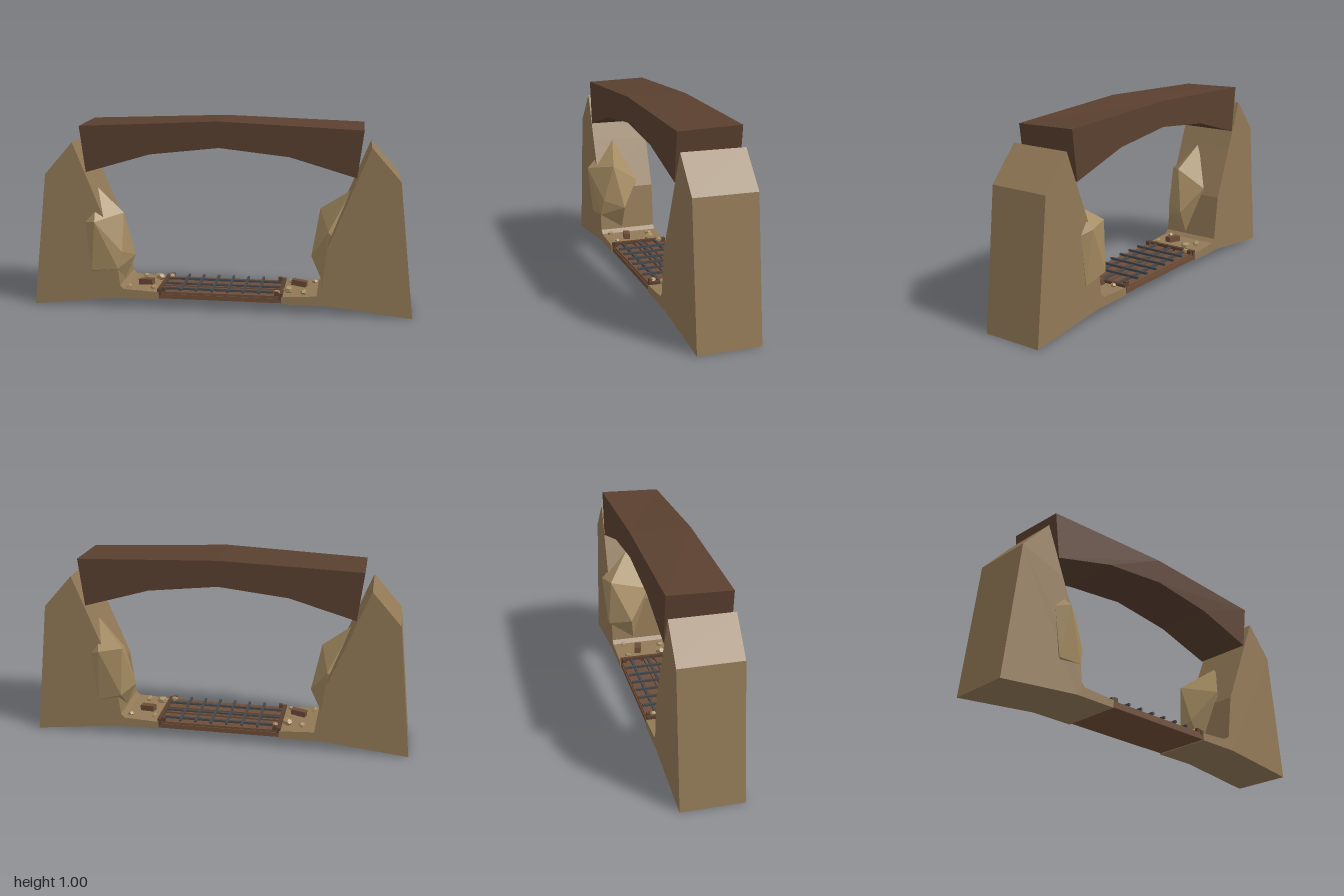
import * as THREE from 'three';
import { ConvexGeometry } from 'three/addons/geometries/ConvexGeometry.js';

const mat = (color) => new THREE.MeshStandardMaterial({ color, flatShading: true });
const EARTH = mat(0x927957), ROCK = mat(0xa58c62), WOOD = mat(0x5a4030),
  PLANK = mat(0x6e4d38), IRON = mat(0x45474a);
const BACK = -0.165, DEPTH = 0.32, MID = BACK + DEPTH / 2;

function add(parent, name, geometry, material, x = 0, y = 0, z = 0) {
  const mesh = new THREE.Mesh(geometry, material);
  mesh.name = name;
  mesh.position.set(x, y, z);
  parent.add(mesh);
  return mesh;
}

const box = (parent, name, material, w, h, d, x, y, z) =>
  add(parent, name, new THREE.BoxGeometry(w, h, d), material, x, y, z);

// Extrudes a front outline through the full depth
function slab(points) {
  const shape = new THREE.Shape(points.map(([x, y]) => new THREE.Vector2(x, y)));
  return new THREE.ExtrudeGeometry(shape, { depth: DEPTH, bevelEnabled: false }).translate(0, 0, BACK);
}

const hull = (points) => new ConvexGeometry(points.map((p) => new THREE.Vector3(...p)));

export function createModel() {
  const model = new THREE.Group();
  model.name = 'caveGate';

  // Earth pillars, each with a low foot reaching to the bridge
  const pillar = [[1, 0], [0.92, 0.71], [0.77, 0.88], [0.67, 0.63], [0.56, 0.36],
    [0.53, 0.12], [0.51, 0.1], [0.325, 0.09], [0.325, 0.05], [0.56, 0.05]];
  for (const [side, name] of [[1, 'leftPillar'], [-1, 'rightPillar']])
    add(model, name, slab(pillar.map(([x, y]) => [side * x, y])), EARTH);

  // Arched beam overhead, its front top corners a little lower
  const beam = slab([[-0.7, 0.725], [-0.36, 0.825], [0, 0.865], [0.36, 0.825], [0.7, 0.725],
    [0.73, 0.975], [0, 1], [-0.73, 0.975]]);
  const pos = beam.attributes.position;
  for (let i = 0; i < pos.count; i++)
    if (Math.abs(pos.getX(i)) > 0.72 && pos.getZ(i) > 0) pos.setY(i, 0.966);
  beam.computeVertexNormals();
  add(model, 'archBeam', beam, WOOD);

  // Boulders bulging out of the pillars
  add(model, 'rightBoulder', hull([
    [-0.675, 0.63, 0.04], [-0.65, 0.47, 0.2], [-0.71, 0.46, 0.155], [-0.52, 0.5, 0.08],
    [-0.47, 0.26, 0.03], [-0.52, 0.3, 0.14], [-0.68, 0.2, 0.165], [-0.54, 0.21, 0.155],
    [-0.53, 0.13, 0.03], [-0.56, 0.4, -0.07], [-0.66, 0.3, 0]]), ROCK);
  add(model, 'leftBoulder', hull([
    [0.675, 0.63, -0.04], [0.63, 0.485, -0.2], [0.68, 0.46, -0.165], [0.51, 0.5, -0.17],
    [0.47, 0.26, -0.06], [0.52, 0.24, -0.185], [0.65, 0.2, -0.168], [0.53, 0.13, -0.04],
    [0.56, 0.42, 0.06], [0.66, 0.3, 0]]), ROCK);

  // Bridge deck with boards lengthwise
  const bridge = new THREE.Group();
  bridge.name = 'bridge';
  model.add(bridge);
  box(bridge, 'deck', PLANK, 0.65, 0.024, 0.31, 0, 0.067, MID);
  for (let i = 0; i < 5; i++)
    box(bridge, 'board', PLANK, 0.65, 0.014, 0.045, 0, 0.084, MID + (i - 2) * 0.064);

  // Iron grid on the deck
  for (let i = 0; i < 3; i++)
    box(bridge, 'longBar', IRON, 0.64, 0.012, 0.014, 0, 0.095, MID + (i - 1) * 0.095);
  for (let i = 0; i < 6; i++)
    box(bridge, 'crossBar', IRON, 0.012, 0.012, 0.3, (i - 2.5) * 0.083, 0.104, MID);

  // End sills with short posts
  for (const s of [-1, 1]) {
    box(bridge, 'endSill', WOOD, 0.02, 0.035, 0.31, s * 0.322, 0.088, MID);
    for (const e of [-1, 1])
      box(bridge, 'post', WOOD, 0.022, 0.045, 0.02, s * 0.3, 0.09, MID + e * 0.14);
  }

  // Loose stones and bricks at both ends, turned half round
  const stones = [[-0.49, 0.11, 0.018], [-0.36, -0.08, 0.028], [-0.44, -0.1, 0.02],
    [-0.3, -0.12, 0.018], [-0.36, 0.11, 0.016]];
  for (const s of [1, -1]) {
    stones.forEach(([x, z, r], i) => {
      const stone = add(model, 'stone', new THREE.DodecahedronGeometry(r), ROCK, s * x, 0.096 + r * 0.5, s * z);
      stone.scale.set(1.1, 0.75, 0.9);
      stone.rotation.y = i * 1.3 + s;
    });
    const brick = box(model, 'brick', PLANK, 0.08, 0.03, 0.036, -s * 0.41, 0.115, s * 0.04);
    brick.rotation.set(0, -0.25, s * 0.08);
  }
  return model;
}
